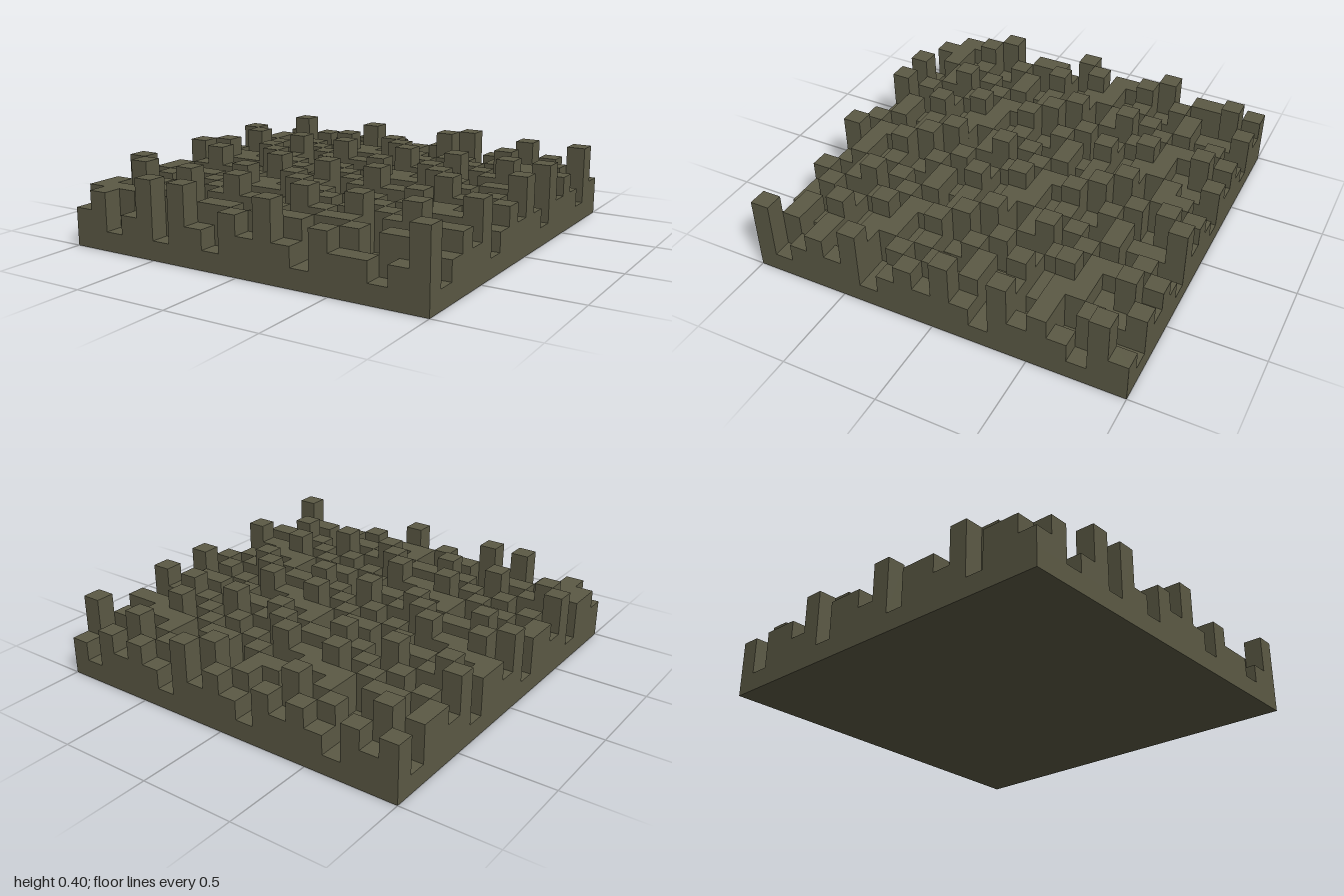
import * as THREE from 'three';
import { mergeGeometries } from 'three/addons/utils/BufferGeometryUtils.js';

const N = 20, CELL = 0.1;
// heights of the border rows, in cells
const FRONT = '23124142132421322124';
const RIGHT = '24123241242321423214';
const BACK = '32312';
const SECOND = '14213';
const mod5 = v => ((v % 5) + 5) % 5;

// height of the block in column i (x) and row j (z)
function level(i, j) {
  if (j === N - 1) return +FRONT[i];
  if (i === N - 1) return +RIGHT[j];
  if (j === 0) return i === 12 ? 4 : +BACK[i % 5];
  if (j === 1) return +SECOND[i % 5];
  // inner blocks: a pattern that repeats every five cells, alternated like a chessboard
  const x = i - N / 2, z = j - N / 2;
  const u = mod5(z * (x + 2) * (x + 2) + x * x + 4);
  if (i === 0) return [2, 3, 3, 1, 4][u];
  const odd = (i + j) % 2 === 1;
  if (u === 0) return 2;
  if (u === 2) return odd ? 3 : 1;
  if (u === 3) return odd ? 1 : i % 5 === 3 ? 3 : 2;
  const lowRow = j % 5 === 2 || j % 5 === 3;
  return odd === (u === 4) && !lowRow ? 4 : 3;
}

export function createModel() {
  const group = new THREE.Group();
  const olive = new THREE.MeshStandardMaterial({ color: 0x5c5a45 });
  olive.name = 'olive';

  // flat slab below all blocks
  const slab = new THREE.Mesh(new THREE.BoxGeometry(N * CELL, CELL, N * CELL), olive);
  slab.name = 'baseSlab';
  slab.position.y = CELL / 2;
  group.add(slab);

  // one row of square blocks per mesh
  for (let j = 0; j < N; j++) {
    const blocks = [];
    for (let i = 0; i < N; i++) {
      const h = (level(i, j) - 1) * CELL;
      if (h <= 0) continue;
      const block = new THREE.BoxGeometry(CELL, h, CELL);
      block.translate((i + 0.5) * CELL - 1, CELL + h / 2, (j + 0.5) * CELL - 1);
      blocks.push(block);
    }
    const row = new THREE.Mesh(mergeGeometries(blocks), olive);
    row.name = 'blockRow' + (j + 1);
    group.add(row);
  }
  return group;
}
